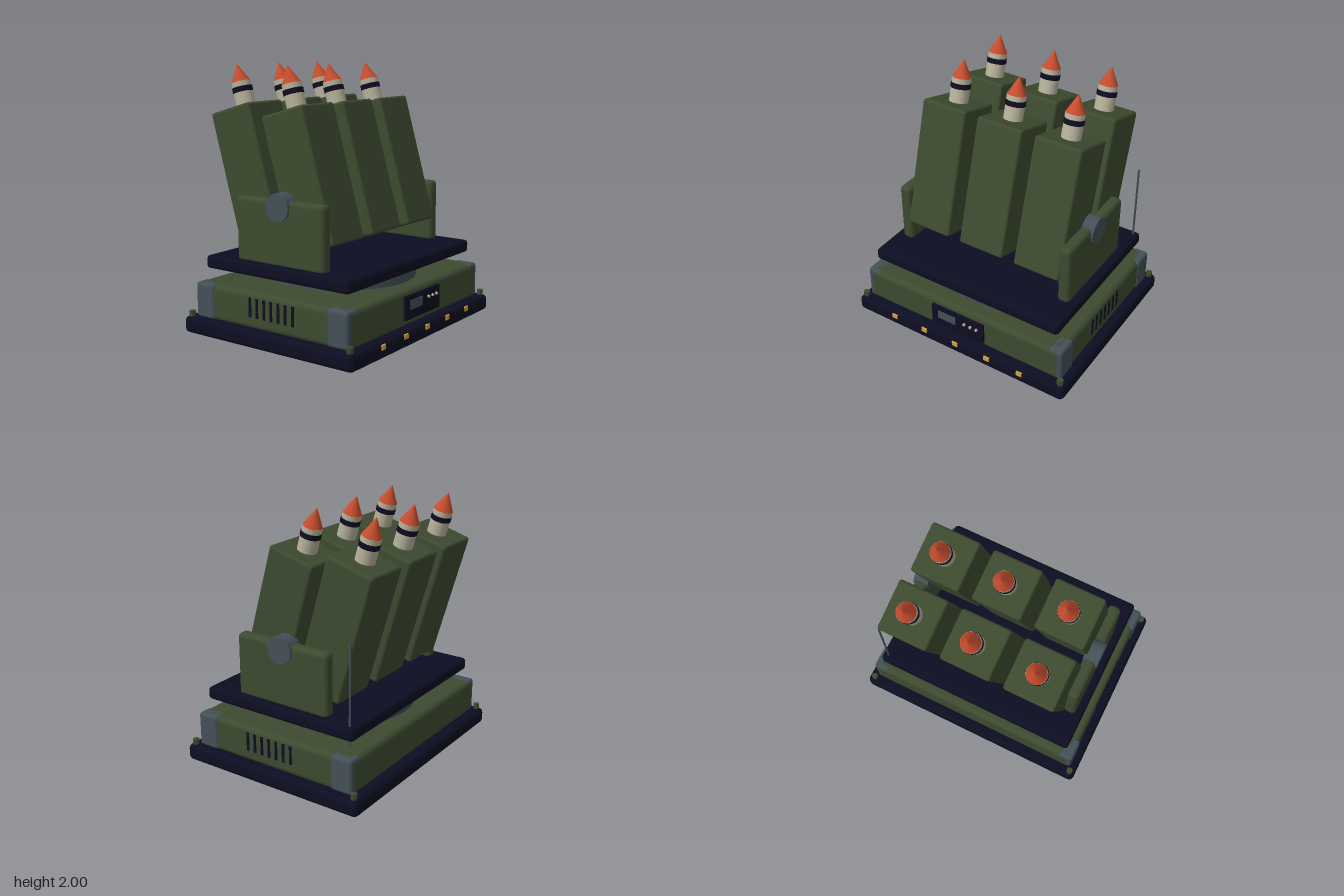
import * as THREE from 'three';
import { RoundedBoxGeometry } from 'three/addons/geometries/RoundedBoxGeometry.js';

const colours = { green: 0x3d4a2f, navy: 0x0d0d22, steel: 0x434f57, cream: 0xb5b09a, orange: 0xc64c2d, amber: 0xd0a23a };
const TILT = THREE.MathUtils.degToRad(16);

export function createModel() {
  const model = new THREE.Group();
  model.name = 'missileLauncher';
  const mats = {};
  for (const [name, color] of Object.entries(colours)) {
    mats[name] = new THREE.MeshStandardMaterial({ color });
    mats[name].name = name;
  }

  const add = (parent, name, geo, mat, x, y, z) => {
    const mesh = new THREE.Mesh(geo, mats[mat]);
    mesh.name = name;
    mesh.position.set(x, y, z);
    parent.add(mesh);
    return mesh;
  };
  const box = (w, h, d) => new THREE.BoxGeometry(w, h, d);
  const rounded = (w, h, d, r) => new RoundedBoxGeometry(w, h, d, 3, r);
  const cyl = (r, h, n = 24) => new THREE.CylinderGeometry(r, r, h, n);

  // Stacked base, body, turntable and deck
  add(model, 'basePlate', rounded(1.906, 0.13, 1.56, 0.04), 'navy', 0, 0.065, 0);
  add(model, 'body', rounded(1.766, 0.28, 1.406, 0.045), 'green', 0, 0.255, 0);
  add(model, 'turntable', cyl(0.575, 0.12, 48), 'steel', 0, 0.44, 0);
  add(model, 'deck', rounded(1.65, 0.1, 1.32, 0.03), 'navy', 0, 0.54, 0);

  // Corner guards and hex bolts
  const boltGeo = cyl(0.026, 0.05, 6).toNonIndexed();
  boltGeo.computeVertexNormals();
  for (const sx of [-1, 1]) {
    for (const sz of [-1, 1]) {
      add(model, 'cornerGuard', rounded(0.12, 0.27, 0.18, 0.025), 'steel', sx * 0.833, 0.26, sz * 0.61);
      add(model, 'bolt', boltGeo, 'green', sx * 0.905, 0.145, sz * 0.73);
    }
    // Side vents
    for (let i = -3; i <= 3; i++) {
      add(model, 'vent', box(0.008, 0.145, 0.021), 'navy', sx * 0.885, 0.282, 0.027 + i * 0.0655);
    }
    // Side supports and pivots
    add(model, 'support', rounded(0.1, 0.49, 0.8, 0.035), 'green', sx * 0.713, 0.815, 0);
    const pivot = add(model, 'pivot', cyl(0.103, 0.12, 32), 'steel', sx * 0.72, 1.01, 0);
    pivot.rotation.z = Math.PI / 2;
  }

  // Control panel
  const panel = new THREE.Group();
  panel.name = 'controlPanel';
  model.add(panel);
  add(panel, 'panelPlate', box(0.47, 0.175, 0.022), 'navy', 0, 0.272, 0.73);
  add(panel, 'screen', box(0.16, 0.07, 0.006), 'steel', -0.095, 0.29, 0.743);
  for (const x of [0.07, 0.125, 0.18]) {
    const knob = add(panel, 'knob', cyl(0.011, 0.015, 12), 'cream', x, 0.302, 0.748);
    knob.rotation.x = Math.PI / 2;
  }

  // Alternating hazard markers along the front edge
  for (let i = -5; i <= 5; i++) {
    add(model, 'hazardMarker', box(0.048, 0.036, 0.03), i % 2 ? 'navy' : 'amber', i * 0.1455, 0.093, 0.772);
  }

  add(model, 'antenna', cyl(0.008, 0.76, 10), 'steel', 0.78, 0.82, -0.61);

  // Two rows of three tilted launch pods, each with a missile
  const podGeo = rounded(0.385, 1.01, 0.385, 0.022);
  for (const z of [0.098, -0.391]) {
    for (const x of [-0.487, 0, 0.487]) {
      const pod = new THREE.Group();
      pod.name = 'launchPod';
      pod.position.set(x, 1.2, z);
      pod.rotation.x = -TILT;
      model.add(pod);
      add(pod, 'podCase', podGeo, 'green', 0, 0, 0);
      add(pod, 'missileBody', cyl(0.074, 0.24, 20), 'cream', 0, 0.572, 0);
      add(pod, 'missileBand', cyl(0.077, 0.04, 20), 'navy', 0, 0.633, 0);
      add(pod, 'missileNose', new THREE.ConeGeometry(0.073, 0.14, 20), 'orange', 0, 0.762, 0);
    }
  }
  return model;
}
